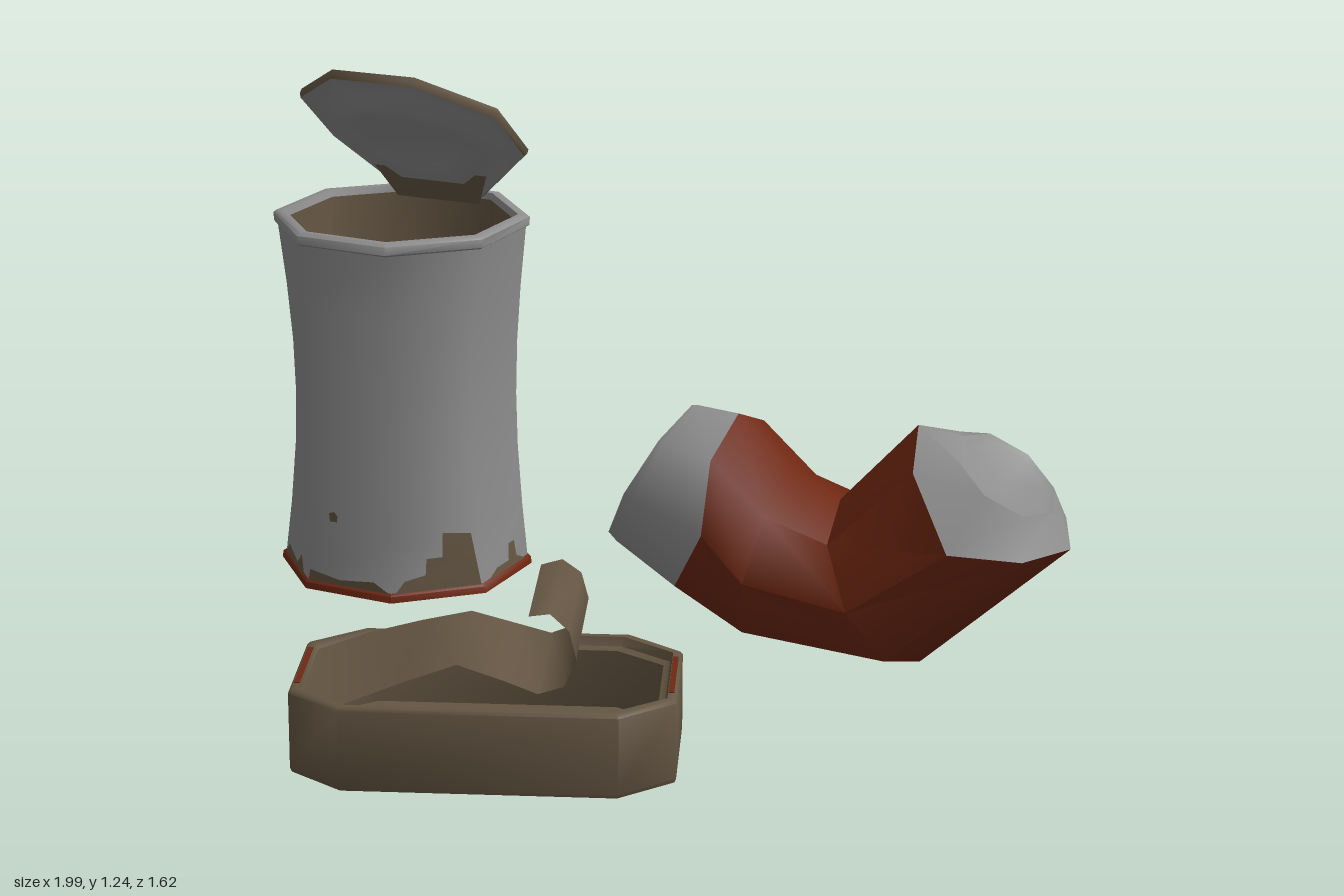
import * as THREE from 'three';
import { toCreasedNormals } from 'three/addons/utils/BufferGeometryUtils.js';

const mat = (name, color) => new THREE.MeshStandardMaterial({ name, color, side: THREE.DoubleSide });
const V = (x, y, z) => new THREE.Vector3(x, y, z);
const N = 8;

// Skin a list of closed rings (each an array of points) with creased normals
function loft(name, rings, material) {
  const n = rings[0].length, idx = [];
  for (let i = 0; i < rings.length - 1; i++)
    for (let j = 0; j < n; j++) {
      const k = (j + 1) % n, a = i * n + j, b = i * n + k, c = a + n, d = b + n;
      idx.push(a, c, b, b, c, d);
    }
  const g = new THREE.BufferGeometry().setFromPoints(rings.flat());
  g.setIndex(idx);
  const mesh = new THREE.Mesh(toCreasedNormals(g, 0.95), material);
  mesh.name = name;
  return mesh;
}

// Flat patch outline remapped onto a surface
function patch(name, pts, map, material) {
  const g = new THREE.ShapeGeometry(new THREE.Shape(pts.map(p => new THREE.Vector2(...p))));
  const pos = g.attributes.position;
  for (let i = 0; i < pos.count; i++) {
    const p = map(pos.getX(i), pos.getY(i));
    pos.setXYZ(i, p.x, p.y, p.z);
  }
  g.computeVertexNormals();
  const mesh = new THREE.Mesh(g, material);
  mesh.name = name;
  return mesh;
}

const ringOf = f => Array.from({ length: N }, (_, i) => f(i));
const pointRing = p => ringOf(() => p.clone());

function tallCan(m) {
  const can = new THREE.Group();
  can.name = 'tallCan';
  const cx = -0.715, cz = -0.498;
  // Corner of the dented octagonal wall
  const corner = (i, y, off = 0) => {
    const a = (i * 45 + 25) * Math.PI / 180, r = 0.298 + off;
    const b = Math.sin(Math.PI * Math.min(1, y / 0.86));
    const dx = [-0.035, 0, 0, 0.04, 0, -0.01, 0, -0.03][i] * b;
    const dz = [0, 0, 0, 0, 0, -0.035, -0.01, 0][i] * b;
    return V(cx + r * Math.cos(a) + dx, y, cz + r * Math.sin(a) + dz);
  };
  const wall = (t, y, off = 0.006) => {
    const i = Math.floor(t);
    return corner(i % N, y, off).lerp(corner((i + 1) % N, y, off), t - i);
  };
  const row = (y, off) => ringOf(i => corner(i, y, off));
  can.add(
    loft('tallCanWall', [0.02, 0.15, 0.3, 0.43, 0.56, 0.7, 0.85].map(y => row(y, 0)), m.metal),
    loft('tallCanRim', [row(0.845, 0), row(0.85, 0.008), row(0.87, 0.008), row(0.876, 0), row(0.876, -0.02), row(0.86, -0.025)], m.metal),
    loft('tallCanBottomRim', [row(0.006, -0.02), row(0, -0.01), row(0, 0.008), row(0.016, 0.008), row(0.022, 0)], m.red),
    loft('tallCanInside', [row(0.86, -0.025), row(0.43, -0.025), row(0.04, -0.025), pointRing(V(cx, 0.04, cz))], m.rust),
    loft('tallCanBase', [pointRing(V(cx, 0.008, cz)), row(0.008, -0.015)], m.rust)
  );
  // Rust stains on the wall, bare metal on the base
  const stains = [
    [[0.03, 0.022], [0.95, 0.022], [0.85, 0.05], [0.62, 0.06], [0.6, 0.1], [0.42, 0.1], [0.4, 0.16], [0.08, 0.15]],
    [[1.02, 0.022], [1.97, 0.022], [1.95, 0.05], [1.6, 0.035], [1.2, 0.045]],
    [[1.62, 0.18], [1.7, 0.18], [1.71, 0.2], [1.65, 0.205], [1.61, 0.195]],
    [[2.1, 0.022], [2.9, 0.022], [2.8, 0.05], [2.4, 0.035], [2.2, 0.07]],
    [[4.1, 0.022], [4.9, 0.022], [4.8, 0.06], [4.5, 0.1], [4.4, 0.05]],
    [[6.03, 0.022], [6.9, 0.022], [6.7, 0.05], [6.5, 0.11], [6.35, 0.11], [6.3, 0.06], [6.05, 0.08]],
    [[7.1, 0.022], [7.9, 0.022], [7.7, 0.04], [7.45, 0.04], [7.42, 0.08], [7.3, 0.08], [7.28, 0.04]]
  ];
  stains.forEach(s => can.add(patch('rustStain', s, wall, m.rust)));
  [[-0.12, 0.1, 0.1], [0.13, 0.08, 0.08], [0.02, -0.14, 0.11], [-0.17, -0.08, 0.06], [0.17, -0.08, 0.05]].forEach(([x, z, r], k) => {
    const blob = Array.from({ length: 9 }, (_, i) => {
      const a = i * Math.PI * 2 / 9, q = r * (1 + 0.35 * Math.sin(i * 2.3 + k));
      return [x + q * Math.cos(a), z + q * Math.sin(a)];
    });
    can.add(patch('baseBareMetal', blob, (u, v) => V(cx + u, 0.003, cz + v), m.metal));
  });

  // Bent lid: (x, distance from front edge, offset along the normal)
  const path = [[0, -0.365, 1.238], [0.31, -0.62, 1.065], [0.37, -0.66, 1.017], [0.525, -0.735, 0.875]];
  const onLid = (x, s, off) => {
    let k = 0;
    while (k < 2 && s > path[k + 1][0]) k++;
    const [s0, z0, y0] = path[k], [s1, z1, y1] = path[k + 1], t = (s - s0) / (s1 - s0);
    const n = V(0, z0 - z1, y1 - y0).normalize();
    return V(cx + x, y0 + (y1 - y0) * t, z0 + (z1 - z0) * t).addScaledVector(n, off);
  };
  const lidRow = (q, off) => ringOf(i => {
    const a = (i + 0.5) * Math.PI / 4, r = 0.279 * q;
    return onLid(r * Math.cos(a), 0.262 - r * Math.sin(a), off);
  });
  can.add(
    loft('lidTop', [lidRow(1, 0), lidRow(0.85, 0.002), lidRow(0.8, -0.006), lidRow(0.5, -0.006), pointRing(onLid(0, 0.262, -0.006))], m.metal),
    loft('lidEdge', [lidRow(0.99, -0.022), lidRow(1.005, -0.011), lidRow(1, 0)], m.rust),
    loft('lidUnderside', [pointRing(onLid(0, 0.262, -0.06)), lidRow(0.5, -0.06), lidRow(0.72, -0.055), lidRow(0.82, -0.03), lidRow(0.99, -0.022)], m.metal),
    patch('lidHingeRust', [[-0.15, 0.43], [0.15, 0.43], [0.11, 0.52], [-0.11, 0.52]], (x, s) => onLid(x, s, -0.042), m.rust)
  );
  return can;
}

function bentCan(m) {
  const can = new THREE.Group();
  can.name = 'bentCan';
  // Octagonal section from its top point, bottom point, half depth and side shift
  const sec = (tx, ty, bx, by, w, sx = 0, sy = 0) => ringOf(i => {
    const a = i * Math.PI / 4, c = Math.cos(a), s = Math.sin(a), q = s ** 4;
    return V((tx + bx) / 2 + c * (tx - bx) / 2 + q * sx, (ty + by) / 2 + c * (ty - by) / 2 + q * sy, -0.378 - s * w);
  });
  const neck = sec(0.2, 0.53, 0.08, 0.09, 0.23, 0.065, 0);
  const heel = sec(0.63, 0.56, 0.99, 0.32, 0.23, -0.03, -0.09);
  const lip = sec(0.085, 0.535, -0.09, 0.2, 0.185);
  const lipIn = sec(0.07, 0.505, -0.078, 0.225, 0.163);
  const lid = sec(0.085, 0.49, -0.05, 0.225, 0.155);
  const foot = sec(0.73, 0.547, 0.945, 0.397, 0.155);
  can.add(
    loft('bentCanBody', [neck, sec(0.34, 0.41, 0.27, 0.01, 0.23), sec(0.45, 0.36, 0.65, 0, 0.228), heel], m.red),
    loft('bentCanShoulder', [lip, sec(0.1, 0.537, -0.065, 0.18, 0.195), neck], m.metal),
    loft('bentCanLip', [lid, lipIn, lip], m.rust),
    loft('bentCanLid', [pointRing(V(0.0175, 0.3575, -0.378)), lid], m.metal),
    loft('bentCanFoot', [heel, foot, sec(0.742, 0.527, 0.928, 0.397, 0.14), pointRing(V(0.825, 0.45, -0.378))], m.metal)
  );
  // Rust mark on the lid
  const mark = [[-0.07, -0.06], [0.0, -0.09], [0.05, -0.05], [0.02, -0.02], [-0.05, -0.03]];
  can.add(patch('lidRust', mark, (u, v) => V(0.0175 + v * 0.45 - 0.005, 0.3575 + v * 0.89 + 0.003, -0.378 + u), m.rust));
  return can;
}

function flatTin(m) {
  const tin = new THREE.Group();
  tin.name = 'flatTin';
  tin.position.set(-0.015, 0, 0.488);
  tin.rotation.y = 0.354;
  const outline = [[0.405, -0.14], [0.405, 0.14], [0.29, 0.232], [-0.29, 0.232], [-0.405, 0.14], [-0.405, -0.14], [-0.29, -0.232], [0.29, -0.232]];
  const row = (y, inset) => outline.map(([u, v]) => V(u * (1 - inset / 0.405), y, v * (1 - inset / 0.232)));
  tin.add(loft('tinShell', [
    pointRing(V(0, 0, 0)), row(0, 0.004), row(0.01, 0), row(0.178, 0), row(0.185, 0.006), row(0.185, 0.02),
    row(0.165, 0.026), row(0.16, 0.04), row(0.03, 0.042), pointRing(V(0, 0.03, 0))
  ], m.rust));
  // Worn paint on both ends of the rim
  [1, -1].forEach(s => {
    const strip = new THREE.Mesh(new THREE.BoxGeometry(0.012, 0.008, 0.2), m.red);
    strip.name = 'rimPaint';
    strip.position.set(s * 0.392, 0.183, 0);
    tin.add(strip);
  });
  // Peeled lid: length position, height, half width; rolled at its end
  const strip = [
    [-0.38, 0.172, 0.13], [-0.285, 0.182, 0.205], [-0.16, 0.225, 0.18], [-0.05, 0.258, 0.157], [0.05, 0.228, 0.165],
    [0.12, 0.205, 0.175], [0.175, 0.225, 0.18], [0.2, 0.285, 0.18], [0.185, 0.345, 0.175], [0.145, 0.378, 0.165], [0.1, 0.368, 0.155]
  ];
  const pts = strip.flatMap(([u, y, w]) => [V(u, y, w), V(u, y, -w)]);
  const idx = [];
  for (let i = 0; i < strip.length - 1; i++) {
    const a = i * 2;
    idx.push(a, a + 2, a + 1, a + 1, a + 2, a + 3);
  }
  const g = new THREE.BufferGeometry().setFromPoints(pts);
  g.setIndex(idx);
  const lid = new THREE.Mesh(toCreasedNormals(g, 0.95), m.rust);
  lid.name = 'peeledLid';
  tin.add(lid);
  return tin;
}

export function createModel() {
  const m = { metal: mat('bareMetal', 0x8e8e8e), red: mat('redPaint', 0x702812), rust: mat('rustBrown', 0x655643) };
  const model = new THREE.Group();
  model.name = 'oldCans';
  model.add(tallCan(m), bentCan(m), flatTin(m));
  return model;
}
